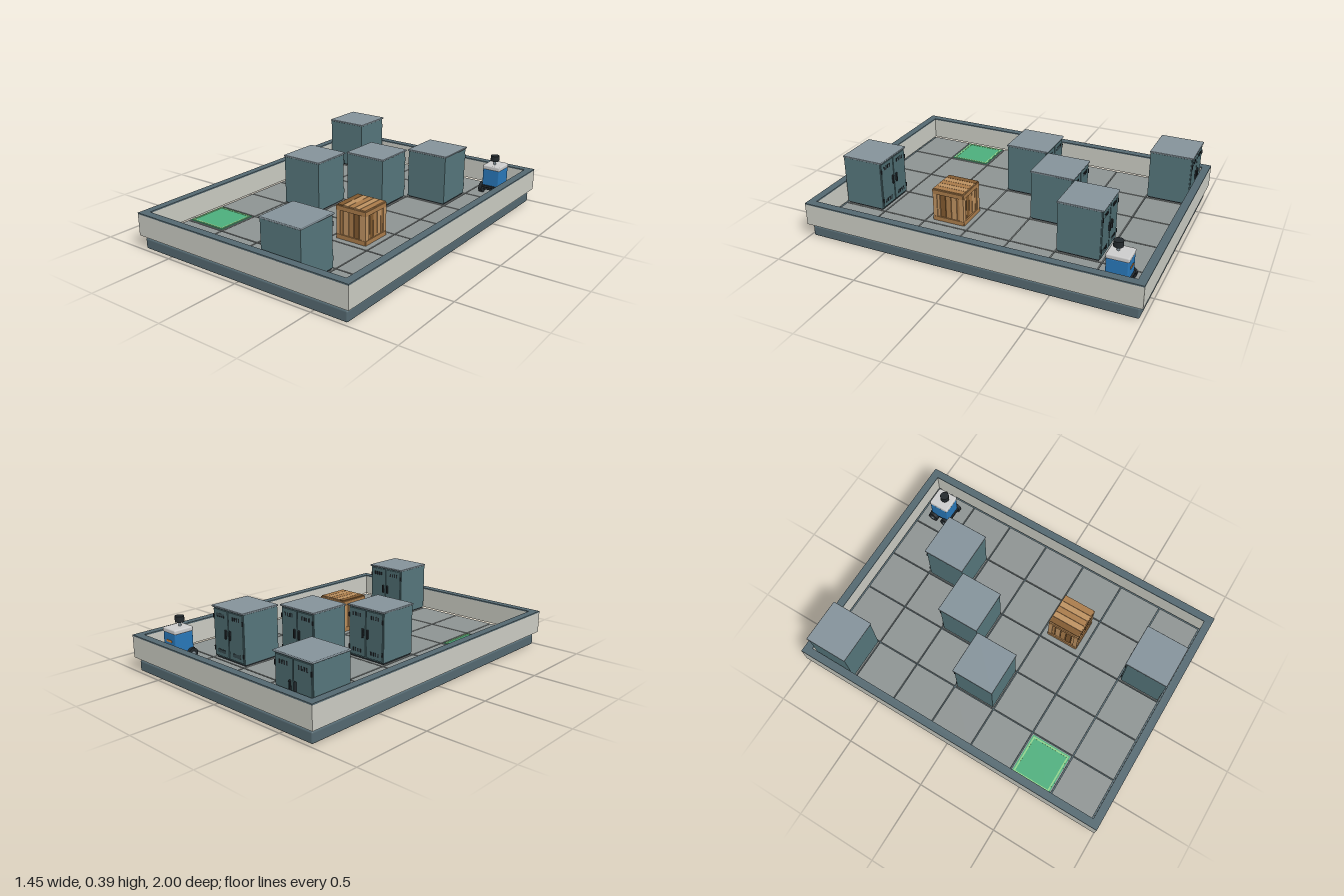
import * as THREE from 'three';
import { RoundedBoxGeometry } from 'three/addons/geometries/RoundedBoxGeometry.js';

const mat = (color) => new THREE.MeshStandardMaterial({ color });
const M = {
  slate: mat(0x546870), wall: mat(0xc9cac1), tile: mat(0x8d9392), steel: mat(0x55757a),
  door: mat(0x4c6a6f), lid: mat(0x84929a), dark: mat(0x22282c), wood: mat(0xa97b4a),
  woodDark: mat(0x80592f), woodLight: mat(0xbd9160), green: mat(0x4cae7c), greenRim: mat(0x8fd08a),
  blue: mat(0x2877b8), white: mat(0xd6d8d6), orange: mat(0xe08a3c),
};
const CELL = 0.272, FLOOR = 0.078;

function add(parent, name, geometry, material, x = 0, y = 0, z = 0) {
  const mesh = new THREE.Mesh(geometry, material);
  mesh.name = name;
  mesh.position.set(x, y, z);
  parent.add(mesh);
  return mesh;
}
const box = (parent, name, m, w, h, d, x, y, z) =>
  add(parent, name, new THREE.BoxGeometry(w, h, d), m, x, y, z);
const rbox = (parent, name, m, w, h, d, x, y, z, r = 0.004) =>
  add(parent, name, new RoundedBoxGeometry(w, h, d, 2, r), m, x, y, z);

function group(parent, name, x, z) {
  const g = new THREE.Group();
  g.name = name;
  g.position.set(x, FLOOR, z);
  parent.add(g);
  return g;
}

// Two-door locker, doors facing the back
function cabinet(parent, col, row) {
  const g = group(parent, 'cabinet', col * CELL, row * CELL);
  box(g, 'cabinetPlinth', M.dark, 0.25, 0.012, 0.235, 0, 0.006, 0.004);
  box(g, 'cabinetBody', M.steel, 0.26, 0.292, 0.248, 0, 0.156, 0.004);
  rbox(g, 'cabinetLid', M.lid, 0.271, 0.011, 0.264, 0, 0.307, 0);
  for (const s of [-1, 1]) {
    box(g, 'door', M.door, 0.12, 0.276, 0.006, s * 0.0635, 0.156, -0.123);
    rbox(g, 'doorHandle', M.dark, 0.012, 0.055, 0.012, s * 0.018, 0.16, -0.132);
    for (const y of [0.06, 0.25])
      box(g, 'hinge', M.dark, 0.007, 0.026, 0.007, s * 0.124, y, -0.126);
    for (const y of [0.05, 0.262])
      for (let i = 0; i < 4; i++)
        box(g, 'ventSlot', M.dark, 0.009, 0.022, 0.002, s * 0.067 + (i - 1.5) * 0.018, y, -0.1265);
  }
}

// Slatted wooden crate
function crate(parent, x, z) {
  const g = group(parent, 'crate', x, z);
  box(g, 'crateCore', M.woodDark, 0.176, 0.19, 0.176, 0, 0.1, 0);
  const tones = [M.wood, M.woodLight, M.wood, M.woodDark, M.woodLight];
  for (let i = 0; i < 5; i++) {
    const o = (i - 2) * 0.038;
    box(g, 'topPlank', tones[(i + 3) % 5], 0.036, 0.012, 0.192, o, 0.198, 0);
    for (const s of [-1, 1]) {
      box(g, 'sidePlank', tones[i], 0.032, 0.186, 0.008, o * 0.95, 0.1, s * 0.09);
      box(g, 'sidePlank', tones[i], 0.008, 0.186, 0.032, s * 0.09, 0.1, o * 0.95);
    }
  }
  for (const s of [-1, 1]) {
    for (const y of [0.014, 0.184]) {
      box(g, 'rail', M.wood, 0.196, 0.026, 0.01, 0, y, s * 0.096);
      box(g, 'rail', M.wood, 0.01, 0.026, 0.196, s * 0.096, y, 0);
    }
    for (const t of [-1, 1]) box(g, 'cornerPost', M.woodLight, 0.026, 0.196, 0.026, s * 0.086, 0.099, t * 0.086);
  }
}

// Small four-wheeled robot with a camera mast
function robot(parent, x, z) {
  const g = group(parent, 'robot', x, z);
  rbox(g, 'robotChassis', M.dark, 0.1, 0.025, 0.12, 0, 0.037, 0);
  rbox(g, 'robotBody', M.blue, 0.114, 0.118, 0.124, 0, 0.104, 0, 0.008);
  rbox(g, 'robotTop', M.white, 0.118, 0.028, 0.128, 0, 0.174, 0, 0.008);
  box(g, 'statusStrip', M.orange, 0.05, 0.012, 0.004, 0, 0.115, -0.063);
  rbox(g, 'bumper', M.dark, 0.112, 0.016, 0.012, 0, 0.05, -0.066);
  rbox(g, 'bumper', M.dark, 0.112, 0.016, 0.012, 0, 0.05, 0.066);
  add(g, 'mast', new THREE.CylinderGeometry(0.008, 0.008, 0.035, 16), M.lid, 0, 0.2, 0.015);
  add(g, 'cameraHead', new THREE.CylinderGeometry(0.027, 0.027, 0.034, 28), M.dark, 0, 0.23, 0.015);
  for (const s of [-1, 1]) for (const t of [-1, 1]) {
    const wheel = add(g, 'wheel', new THREE.CylinderGeometry(0.032, 0.032, 0.022, 24), M.dark, s * 0.064, 0.032, t * 0.044);
    wheel.rotation.z = Math.PI / 2;
    const hub = add(g, 'wheelHub', new THREE.CylinderGeometry(0.012, 0.012, 0.026, 16), M.lid, s * 0.064, 0.032, t * 0.044);
    hub.rotation.z = Math.PI / 2;
  }
}

export function createModel() {
  const root = new THREE.Group();
  root.name = 'storageRoom';

  // Base slab and tiled floor
  rbox(root, 'baseSlab', M.slate, 1.41, 0.065, 1.96, 0, 0.0325, 0, 0.01);
  for (let c = -2; c <= 2; c++)
    for (let r = -3; r <= 3; r++)
      box(root, 'floorTile', M.tile, 0.265, 0.014, 0.265, c * CELL, 0.071, r * CELL);

  // Low walls with a dark cap
  for (const s of [-1, 1]) {
    box(root, 'sideWall', M.wall, 0.045, 0.128, 2, s * 0.7045, 0.146, 0);
    box(root, 'endWall', M.wall, 1.364, 0.128, 0.045, 0, 0.146, s * 0.9775);
    box(root, 'sideWallCap', M.slate, 0.047, 0.008, 2, s * 0.7035, 0.214, 0);
    box(root, 'endWallCap', M.slate, 1.36, 0.008, 0.047, 0, 0.214, s * 0.9765);
  }

  // Lockers by floor cell
  for (const [c, r] of [[-2, -3], [1, -2], [0, -1], [-1, 0], [1, 3]]) cabinet(root, c, r);

  crate(root, CELL, 0.268);
  robot(root, 0.542, -0.818);

  // Marked goal cell
  const goal = group(root, 'goalPad', -2 * CELL, 2 * CELL);
  box(goal, 'goalPanel', M.green, 0.25, 0.004, 0.25, 0, 0.002, 0);
  for (const s of [-1, 1]) {
    box(goal, 'goalEdge', M.greenRim, 0.236, 0.003, 0.009, 0, 0.0045, s * 0.1135);
    box(goal, 'goalEdge', M.greenRim, 0.009, 0.003, 0.218, s * 0.1135, 0.0045, 0);
  }
  return root;
}
